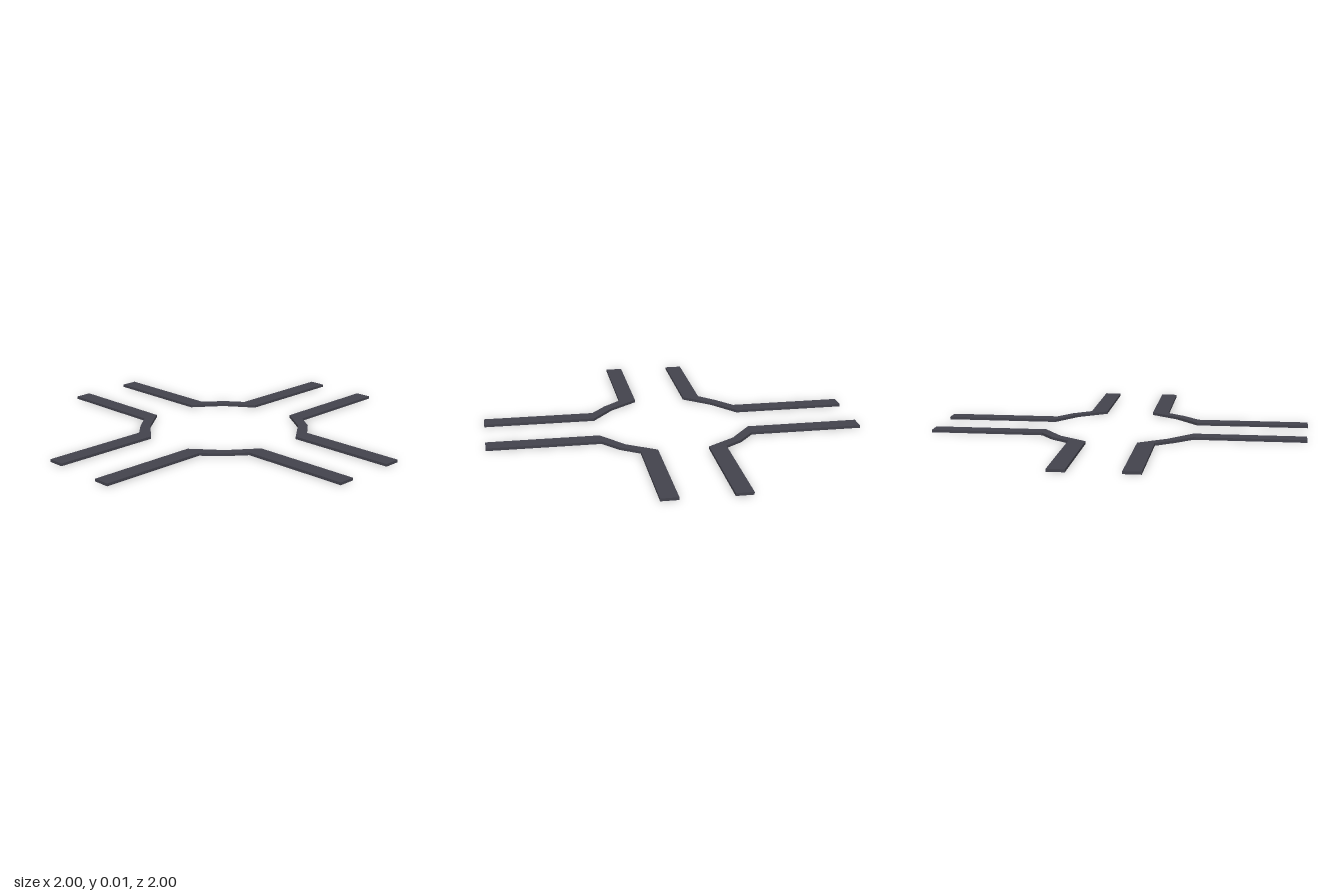
import * as THREE from 'three';

const HEIGHT = 0.014;

export function createModel() {
  const group = new THREE.Group();
  group.name = 'crossroadKerbs';
  const material = new THREE.MeshStandardMaterial({ color: 0x43434d, flatShading: true });

  // One kerb: two straight arms joined by a narrower bend around the corner.
  // sx, sz pick the quadrant; ix, iz are the inner edges; ex, ez the arm ends.
  function addKerb(name, sx, sz, ix, iz, ex, ez) {
    const w = 0.09;
    const outline = [
      [ix, ez], [ix, 0.395], [0.285, iz + 0.15], [0.4, iz], [ex, iz],
      [ex, iz + w], [0.4, iz + w], [0.32, iz + 0.19], [ix + w, 0.4], [ix + w, ez],
    ];
    const shape = new THREE.Shape(outline.map(([x, z]) => new THREE.Vector2(sx * x, sz * z)));
    const geometry = new THREE.ExtrudeGeometry(shape, { depth: HEIGHT, bevelEnabled: false });
    geometry.rotateX(Math.PI / 2);
    geometry.translate(0, HEIGHT, 0);
    const mesh = new THREE.Mesh(geometry, material);
    mesh.name = name;
    group.add(mesh);
  }

  addKerb('kerbBackRight', -1, -1, 0.135, 0.14, 1, 1);
  addKerb('kerbBackLeft', 1, -1, 0.13, 0.14, 0.995, 1);
  addKerb('kerbFrontRight', -1, 1, 0.145, 0.125, 1, 0.985);
  addKerb('kerbFrontLeft', 1, 1, 0.135, 0.125, 0.995, 1);
  return group;
}
